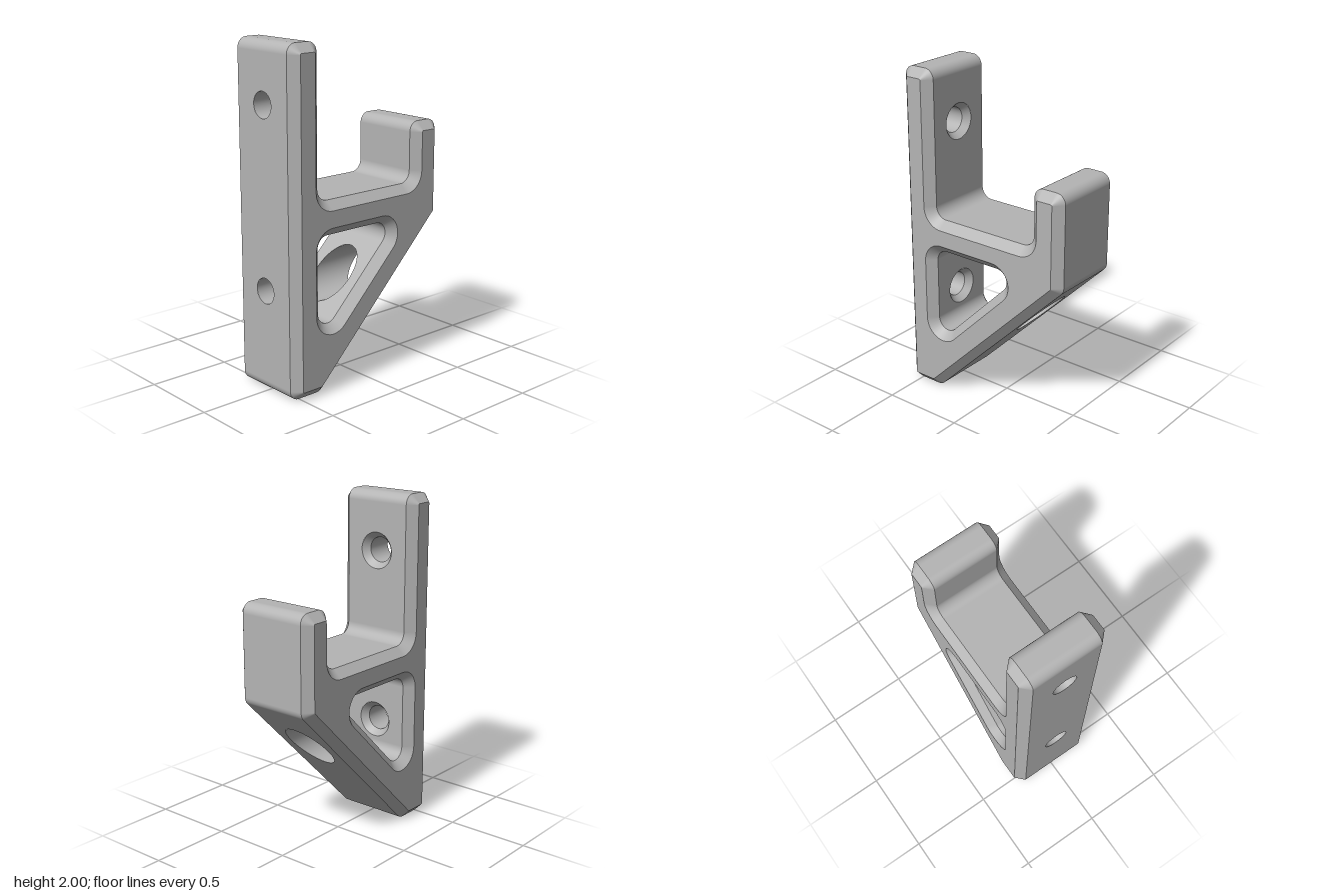
import * as THREE from 'three';

const ARC = 12, ROUND = 48;          // smoothness of corners and bores
const CHAMFER = 0.052, ZF = 0.262, ZW = ZF - CHAMFER;

// Rounded polygon: each sample keeps its arc centre, signed radius and outward normal, so it can be inset.
function roundedRing(corners) {
  const n = corners.length, ring = [];
  corners.forEach(([x, y, r], i) => {
    const p = new THREE.Vector2(x, y);
    const a = new THREE.Vector2(...corners[(i + n - 1) % n].slice(0, 2));
    const b = new THREE.Vector2(...corners[(i + 1) % n].slice(0, 2));
    const d1 = p.clone().sub(a).normalize(), d2 = b.sub(p).normalize();
    const turn = Math.atan2(d1.cross(d2), d1.dot(d2)), s = Math.sign(turn);
    const t = r * Math.tan(Math.abs(turn) / 2);
    const n1 = new THREE.Vector2(d1.y, -d1.x);
    const centre = p.clone().addScaledVector(d1, -t).addScaledVector(n1, -s * r);
    for (let k = 0; k <= ARC; k++) {
      const nrm = n1.clone().rotateAround(new THREE.Vector2(), turn * k / ARC);
      ring.push({ nrm, edge: k === ARC ? i : -1, at: c => centre.clone().addScaledVector(nrm, s * r - c) });
    }
  });
  return ring;
}

function buffer(pos, index, nor) {
  const g = new THREE.BufferGeometry();
  g.setAttribute('position', new THREE.Float32BufferAttribute(pos, 3));
  g.setIndex(index);
  if (nor) g.setAttribute('normal', new THREE.Float32BufferAttribute(nor, 3));
  else g.computeVertexNormals();
  return g;
}

// Strip round a ring between two [inset, z] levels, leaving out the edges in skip
function band(ring, [ca, za], [cb, zb], nz, skip = []) {
  const pos = [], nor = [], index = [], n = ring.length, len = Math.hypot(1, nz);
  ring.forEach((q, i) => {
    const a = q.at(ca), b = q.at(cb);
    pos.push(a.x, a.y, za, b.x, b.y, zb);
    for (let k = 0; k < 2; k++) nor.push(q.nrm.x / len, q.nrm.y / len, nz / len);
    if (skip.includes(q.edge)) return;
    const A = 2 * i, D = 2 * ((i + 1) % n);
    index.push(A, A + 1, D + 1, A, D + 1, D);
  });
  return buffer(pos, index, nor);
}

// Straight wall of a ring pierced by round holes given as [y, radius]
function piercedWall(ring, edge, holes) {
  const i = ring.findIndex(q => q.edge === edge);
  const p = ring[i].at(0), q = ring[(i + 1) % ring.length].at(0);
  const dir = ring[i].nrm.x < 0 ? 1 : -1;
  const shape = new THREE.Shape([[-ZW, p.y], [ZW, p.y], [ZW, q.y], [-ZW, q.y]].map(v => new THREE.Vector2(...v)));
  for (const [y, r] of holes) shape.holes.push(new THREE.Path().absarc(0, y, r, 0, Math.PI * 2, true));
  const g = new THREE.ShapeGeometry(shape, ROUND), v = g.attributes.position;
  for (let k = 0; k < v.count; k++) {
    const z = v.getX(k), y = v.getY(k);
    v.setXYZ(k, p.x + (q.x - p.x) * (y - p.y) / (q.y - p.y), y, z * dir);
  }
  g.computeVertexNormals();
  return g;
}

// Inside of a round hole along x; each end is [radius, x as a function of y]
function bore(yc, [r0, x0], [r1, x1]) {
  const pos = [], index = [];
  for (let k = 0; k < ROUND; k++) {
    const t = k / ROUND * Math.PI * 2;
    for (const [r, f] of [[r0, x0], [r1, x1]]) {
      const y = yc + r * Math.cos(t);
      pos.push(f(y), y, r * Math.sin(t));
    }
    const A = 2 * k, D = 2 * ((k + 1) % ROUND);
    index.push(A, A + 1, D + 1, A, D + 1, D);
  }
  return buffer(pos, index);
}

// Side face with the triangular opening; dir is 1 for the front and -1 for the back
function sideFace(outer, opening, dir) {
  const pts = ring => ring.map(q => { const p = q.at(CHAMFER); p.x *= dir; return p; });
  const shape = new THREE.Shape(pts(outer));
  shape.holes.push(new THREE.Path(pts(opening)));
  const g = new THREE.ShapeGeometry(shape);
  if (dir < 0) g.rotateY(Math.PI);
  return g.translate(0, 0, dir * ZF);
}

export function createModel() {
  const group = new THREE.Group();
  group.name = 'wallHook';
  const grey = new THREE.MeshStandardMaterial({ color: 0xb4b4b4 });
  grey.name = 'grey';
  const add = (name, g) => {
    const m = new THREE.Mesh(g, grey);
    m.name = name;
    group.add(m);
  };

  const back = -0.56, inner = -0.355, R = 0.06, F = 0.07;
  const underside = 0.348, strutTop = 0.656;   // y - x of the two diagonal strut faces
  const outer = roundedRing([
    [back, 0, R], [-underside, 0, R], [0.56, 0.56 + underside, R], [0.56, 1.477, R], [0.355, 1.477, R],
    [0.355, 1.12, F], [inner, 1.12, F], [inner, 2, R], [back, 2, R],
  ]);
  const opening = roundedRing([
    [inner, inner + strutTop, F], [inner, 0.918, F], [0.918 - strutTop, 0.918, F],
  ]);

  // Side faces and their chamfers
  for (const [side, dir] of [['front', 1], ['back', -1]]) {
    add(side + 'Face', sideFace(outer, opening, dir));
    const levels = [[CHAMFER, dir * ZF], [0, dir * ZW]];
    if (dir < 0) levels.reverse();
    add(side + 'OuterChamfer', band(outer, ...levels, dir));
    add(side + 'OpeningChamfer', band(opening, ...levels, dir));
  }

  // Walls through the depth, with the pierced ones built separately
  const low = 0.6, high = 1.653, screw = 0.075, sink = 0.109, access = 0.14;
  add('outerWall', band(outer, [0, ZW], [0, -ZW], 0, [1, 6, 8]));
  add('openingWall', band(opening, [0, ZW], [0, -ZW], 0, [0, 2]));
  add('mountingWall', piercedWall(outer, 8, [[low, screw], [high, screw]]));
  add('upperInnerWall', piercedWall(outer, 6, [[high, sink]]));
  add('lowerInnerWall', piercedWall(opening, 0, [[low, sink]]));
  add('strutUnderside', piercedWall(outer, 1, [[low, access]]));
  add('strutTop', piercedWall(opening, 2, [[low, access]]));

  // Countersunk screw holes and the driver access hole through the strut
  const seat = inner - 0.04;
  for (const y of [low, high]) {
    add('screwHole', bore(y, [screw, () => back], [screw, () => seat]));
    add('countersink', bore(y, [screw, () => seat], [sink, () => inner]));
  }
  add('accessHole', bore(low, [access, y => y - strutTop], [access, y => y - underside]));
  return group;
}
